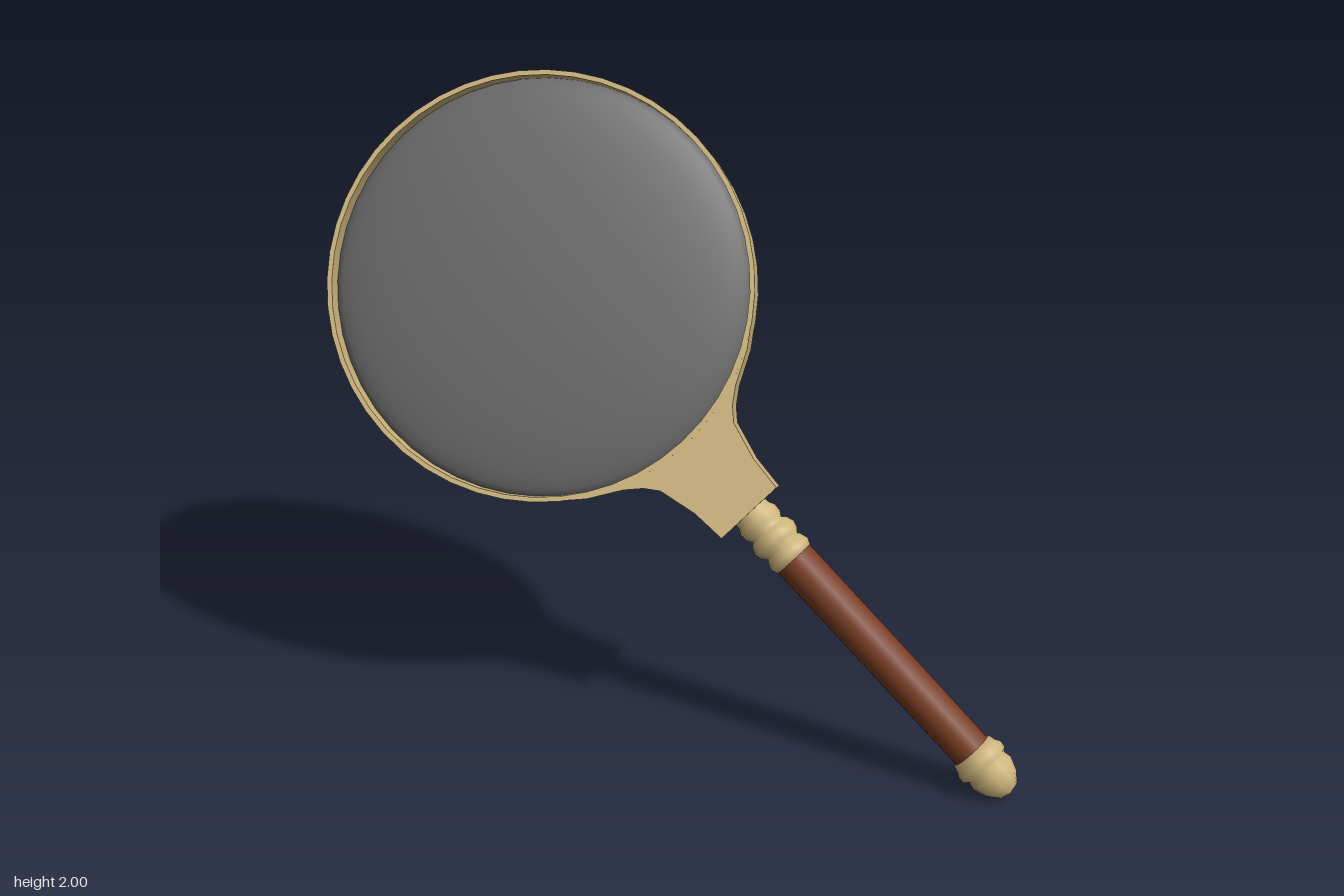
import * as THREE from 'three';
import { toCreasedNormals } from 'three/addons/utils/BufferGeometryUtils.js';

const brass = new THREE.MeshStandardMaterial({ color: 0xcfb67e });
brass.name = 'brass';
const wood = new THREE.MeshStandardMaterial({ color: 0x783b21 });
wood.name = 'reddish wood';
const glass = new THREE.MeshStandardMaterial({ color: 0x686868 });
glass.name = 'grey glass';

const RADIUS = 0.65, INNER = 0.635, HALF = 0.082;

function part(name, geometry, material) {
  const mesh = new THREE.Mesh(geometry, material);
  mesh.name = name;
  return mesh;
}

// Turned part from [radius, height] pairs listed from the bottom up
function turned(profile, sides) {
  return new THREE.LatheGeometry(profile.map(([r, y]) => new THREE.Vector2(r, y)), sides);
}

// Flared block joining the frame to the handle
function neckGeometry() {
  const side = [[0.112, -0.928], [0.12, -0.82], [0.15, -0.7], [0.182, -0.66], [0.23, -0.622], [0.33, -0.566], [0.42, -0.494]];
  const shape = new THREE.Shape();
  shape.moveTo(-side[0][0], side[0][1]);
  side.forEach(([x, y]) => shape.lineTo(x, y));
  const start = Math.atan2(-0.494, 0.42);
  shape.absarc(0, 0, 0.642, start, -Math.PI - start, true);
  side.slice(1).reverse().forEach(([x, y]) => shape.lineTo(-x, y));
  const geometry = new THREE.ExtrudeGeometry(shape, { depth: 0.162, bevelEnabled: false, curveSegments: 14 });
  geometry.translate(0, 0, -0.081);
  return toCreasedNormals(geometry, 0.6);
}

export function createModel() {
  const model = new THREE.Group();
  model.name = 'magnifyingGlass';
  const body = new THREE.Group();
  body.name = 'tiltedBody';
  model.add(body);

  // Thin round frame
  const frame = turned([[RADIUS, -HALF], [RADIUS, HALF], [INNER, HALF], [INNER, -HALF], [RADIUS, -HALF]], 48);
  body.add(part('frame', toCreasedNormals(frame, 0.6).rotateX(Math.PI / 2), brass));

  // Lens: a flattened ball meeting the frame at its middle
  const lens = new THREE.SphereGeometry(INNER + 0.003, 48, 24).scale(1, 0.133, 1).rotateX(Math.PI / 2);
  body.add(part('lens', lens, glass));

  body.add(part('neckBlock', neckGeometry(), brass));

  // Beaded collar above the grip
  const collar = [
    [0.05, -1.125], [0.066, -1.12], [0.074, -1.1], [0.066, -1.075], [0.06, -1.07],
    [0.072, -1.055], [0.078, -1.035], [0.07, -1.01], [0.058, -1.0],
    [0.068, -0.985], [0.07, -0.96], [0.06, -0.94], [0.06, -0.91],
  ];
  body.add(part('collar', turned(collar, 12), brass));

  // Wooden grip
  body.add(part('grip', turned([[0.062, -1.93], [0.064, -1.5], [0.064, -1.1]], 16), wood));

  // Ringed end knob with a rounded tip
  const knob = [
    [0, -2.07], [0.035, -2.06], [0.06, -2.03], [0.075, -1.99], [0.07, -1.965],
    [0.082, -1.955], [0.084, -1.935], [0.075, -1.92], [0.07, -1.9], [0.05, -1.898],
  ];
  body.add(part('endKnob', turned(knob, 12), brass));

  // Lean the whole body: local y runs up the handle, local z along the lens axis
  const up = new THREE.Vector3(-0.479, 0.652, -0.588).normalize();
  const axis = new THREE.Vector3(-0.469, 0.373, 0.8);
  const right = up.clone().cross(axis).normalize();
  axis.crossVectors(right, up);
  body.quaternion.setFromRotationMatrix(new THREE.Matrix4().makeBasis(right, up, axis));
  body.position.set(-0.205, 1.368, -0.392);
  return model;
}
